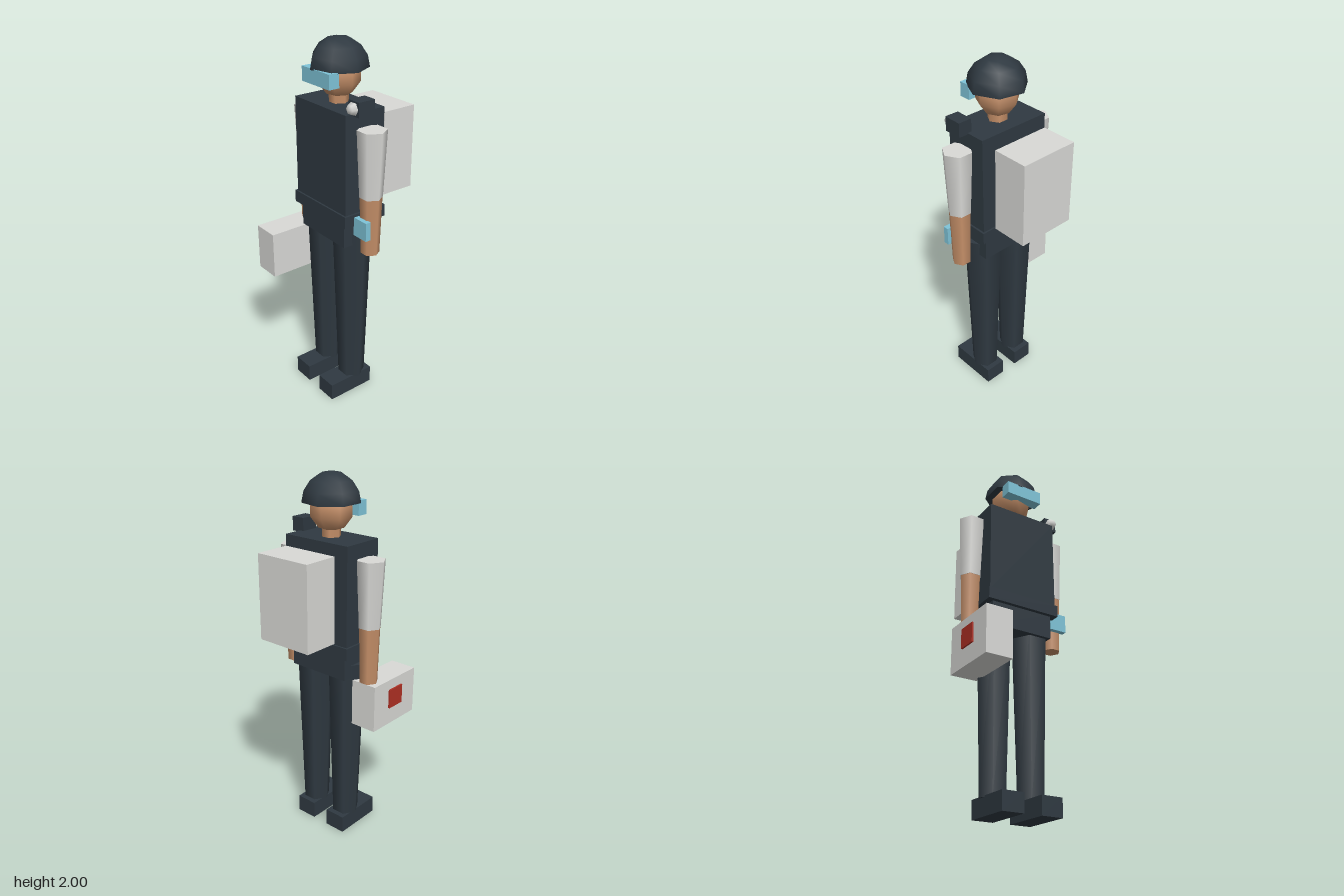
import * as THREE from 'three';

export function createModel() {
  const model = new THREE.Group();
  model.name = 'fieldMedic';

  const material = (name, color) => {
    const m = new THREE.MeshStandardMaterial({ color });
    m.name = name;
    return m;
  };
  const dark = material('dark slate', 0x2f3941);
  const pale = material('pale grey', 0xd9d9d6);
  const skin = material('skin', 0xc69069);
  const cyan = material('cyan glass', 0x7fc4d8);
  const red = material('red', 0xb03024);

  const add = (name, geometry, mat, x = 0, y = 0, z = 0) => {
    const mesh = new THREE.Mesh(geometry, mat);
    mesh.name = name;
    mesh.position.set(x, y, z);
    model.add(mesh);
    return mesh;
  };
  // Box given by its limits on each axis
  const box = (name, mat, [x0, x1], [y0, y1], [z0, z1]) =>
    add(name, new THREE.BoxGeometry(x1 - x0, y1 - y0, z1 - z0), mat,
      (x0 + x1) / 2, (y0 + y1) / 2, (z0 + z1) / 2);
  // Upright six-sided limb with corners pointing to the sides
  const limb = (name, mat, x, y0, y1, rBottom, rTop) =>
    add(name, new THREE.CylinderGeometry(rTop, rBottom, y1 - y0, 6, 1, false, Math.PI / 2),
      mat, x, (y0 + y1) / 2, cz);

  const cx = 0.004, cz = 0.025; // body axis

  // Legs, feet and arms
  for (const [side, s] of [['left', 1], ['right', -1]]) {
    limb(side + 'Leg', dark, cx + s * 0.11, 0.09, 1.03, 0.074, 0.103);
    const foot = cx + s * 0.109;
    box(side + 'Boot', dark, [foot - 0.06, foot + 0.06], [0, 0.097], [-0.069, 0.209]);
    const arm = cx + s * 0.259;
    limb(side + 'Sleeve', pale, arm, 1.25, 1.6, 0.06, 0.076);
    limb(side + 'Forearm', skin, arm, 0.937, 1.25, 0.049, 0.058);
  }

  // Body
  box('pelvis', dark, [-0.178, 0.184], [0.96, 1.1], [-0.08, 0.132]);
  box('belt', dark, [-0.213, 0.22], [1.09, 1.155], [-0.105, 0.154]);
  box('vest', dark, [-0.202, 0.209], [1.15, 1.677], [-0.095, 0.144]);
  limb('neck', skin, cx, 1.66, 1.76, 0.05, 0.05);

  // Head, goggles and helmet
  add('head', new THREE.SphereGeometry(0.114, 7, 5, Math.PI), skin, cx, 1.815, cz);
  box('goggles', cyan, [-0.105, 0.112], [1.78, 1.855], [0.106, 0.167]);
  add('helmet', new THREE.SphereGeometry(0.1515, 7, 4, Math.PI, Math.PI * 2, 0, Math.PI / 2),
    dark, cx, 1.849, cz);
  const brim = add('helmetUnderside', new THREE.CircleGeometry(0.1515, 7), dark, cx, 1.849, cz);
  brim.rotation.x = Math.PI / 2;

  // Shoulder lamp and wrist screen
  box('lampHousing', dark, [0.184, 0.259], [1.67, 1.745], [0.009, 0.106]);
  const lens = add('lampLens', new THREE.SphereGeometry(0.034, 6, 4), pale, 0.222, 1.708, 0.109);
  lens.rotation.x = Math.PI / 2;
  box('wristScreen', cyan, [0.214, 0.313], [1.04, 1.14], [0.067, 0.097]);

  // Backpack and medical case
  box('backpack', pale, [-0.158, 0.167], [1.18, 1.63], [-0.333, -0.137]);
  box('medicalCase', pale, [-0.331, -0.181], [0.69, 0.947], [-0.018, 0.33]);
  box('casePanel', red, [-0.341, -0.332], [0.787, 0.893], [0.102, 0.21]);

  return model;
}
